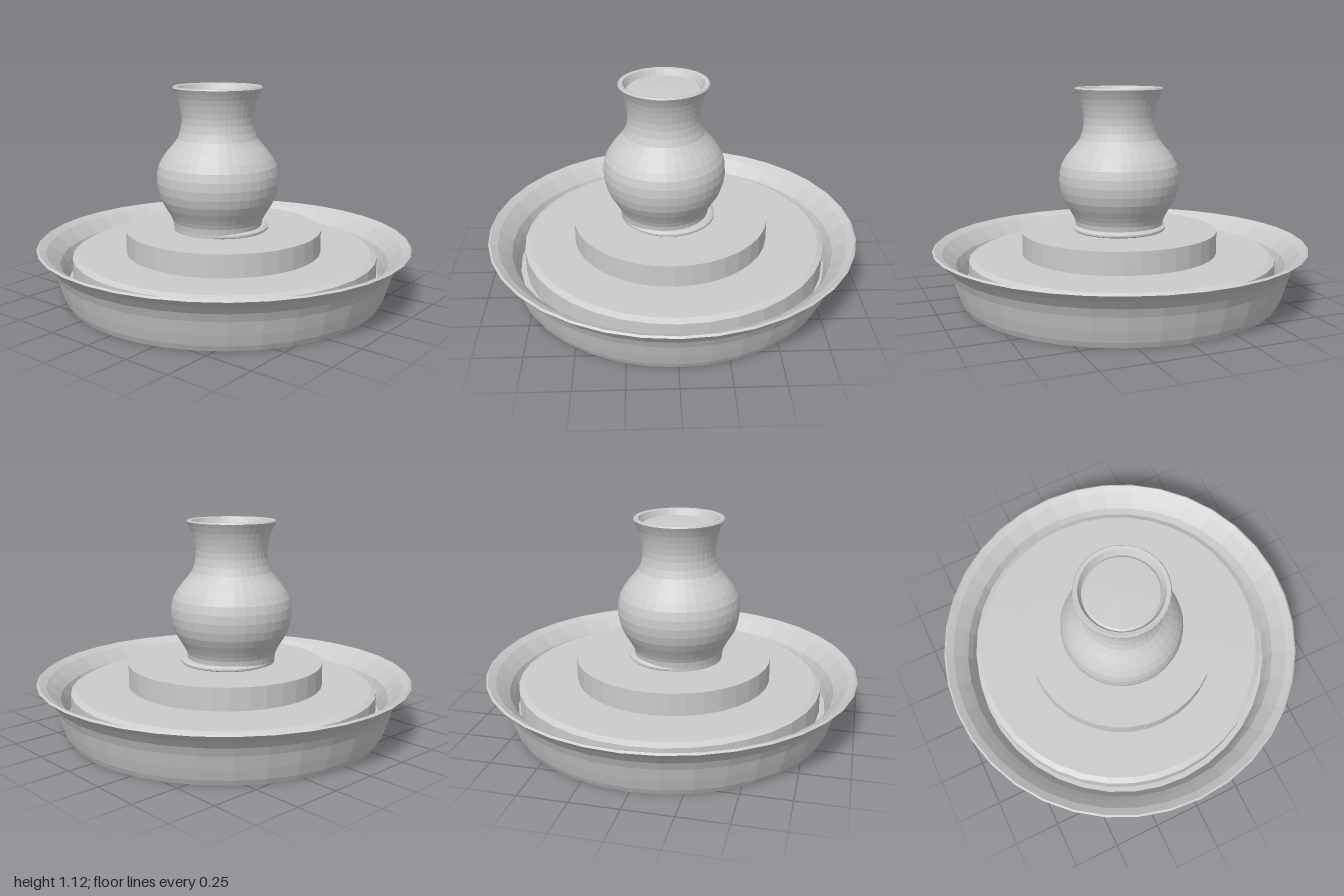
import * as THREE from 'three';

const SIDES = 36;

export function createModel() {
  const model = new THREE.Group();
  const material = new THREE.MeshStandardMaterial({ color: 0xcccccc, flatShading: true });

  // Revolves a profile of [radius, height] pairs, listed from the bottom outwards and up
  function turned(name, profile, x = 0, z = 0) {
    const points = profile.map(([r, y]) => new THREE.Vector2(r, y));
    const mesh = new THREE.Mesh(new THREE.LatheGeometry(points, SIDES), material);
    mesh.name = name;
    mesh.position.set(x, 0, z);
    model.add(mesh);
    return mesh;
  }

  // Flared dish with a flat underside and a thin wall
  turned('dish', [
    [0, 0], [0.85, 0], [0.865, 0.03], [0.885, 0.09], [0.905, 0.16], [0.925, 0.205], [0.96, 0.25],
    [1, 0.285], [0.99, 0.293], [0.95, 0.272], [0.91, 0.235], [0.88, 0.205], [0.86, 0.16], [0.84, 0.1], [0, 0.1],
  ]);

  // Raised floor plate, leaving a narrow groove inside the wall
  turned('floorPlate', [[0.82, 0.1], [0.82, 0.225], [0.79, 0.24], [0, 0.24]], -0.005, -0.01);

  // Round plinth in the middle
  turned('plinth', [[0.525, 0.23], [0.525, 0.36], [0, 0.36]], 0.003, 0.01);

  // Foot ring under the vase
  turned('vaseFoot', [[0.24, 0.355], [0.25, 0.365], [0.25, 0.375], [0.235, 0.385], [0, 0.385]], 0, 0.02);

  // Vase body: round belly, narrow neck and flared lip
  const body = new THREE.SplineCurve([
    [0.235, 0.36], [0.24, 0.41], [0.265, 0.46], [0.305, 0.53], [0.325, 0.62], [0.313, 0.71], [0.265, 0.785],
    [0.212, 0.85], [0.191, 0.93], [0.196, 1.0], [0.213, 1.065], [0.237, 1.115],
  ].map(([r, y]) => new THREE.Vector2(r, y))).getPoints(22).map((p) => [p.x, p.y]);
  const lip = [[0.232, 1.123], [0.212, 1.12], [0.195, 1.085]];
  turned('vaseBody', [...body, ...lip], -0.01, 0.042);

  // Shallow domed filling in the mouth
  turned('vaseFilling', [[0.2, 1.08], [0.185, 1.092], [0, 1.1]], -0.01, 0.042);

  return model;
}
